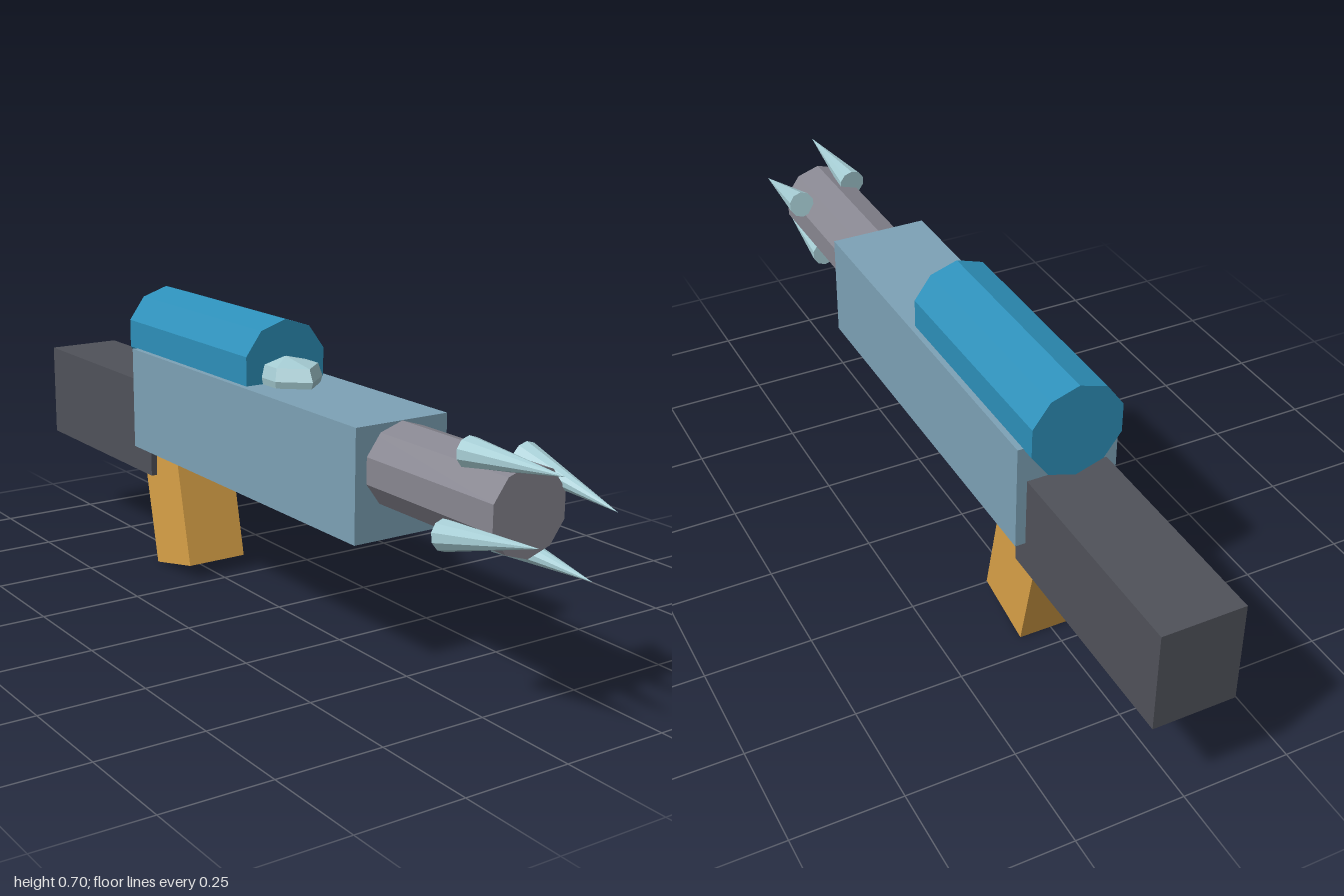
import * as THREE from 'three';

const mat = (name, color) => {
  const m = new THREE.MeshStandardMaterial({ color, flatShading: true });
  m.name = name;
  return m;
};

export function createModel() {
  const steelBlue = mat('steelBlue', 0x7da2b6);
  const charcoal = mat('charcoal', 0x50525a);
  const gunGrey = mat('gunGrey', 0x888791);
  const deepBlue = mat('deepBlue', 0x2d90ba);
  const amber = mat('amber', 0xd9a147);
  const paleIce = mat('paleIce', 0xa6cdd4);

  const model = new THREE.Group();
  const cx = -0.002; // shared centre line of the body parts

  const add = (name, geometry, material, x, y, z) => {
    const mesh = new THREE.Mesh(geometry, material);
    mesh.name = name;
    mesh.position.set(x, y, z);
    model.add(mesh);
    return mesh;
  };
  // Ten-sided tube along z with a corner at the top
  const tube = (r, length) =>
    new THREE.CylinderGeometry(r, r, length, 10).rotateX(Math.PI / 2);

  // Main boxes
  add('body', new THREE.BoxGeometry(0.237, 0.252, 0.955), steelBlue, cx, 0.436, -0.009);
  add('stock', new THREE.BoxGeometry(0.189, 0.238, 0.555), charcoal, cx, 0.356, -0.7225);

  // Grip, leaning so its foot points forward
  const tilt = 0.216, gripLength = 0.36;
  const grip = add('grip', new THREE.BoxGeometry(0.158, gripLength, 0.17), amber, cx,
    0.02 + Math.cos(tilt) * gripLength / 2, -0.366 - Math.sin(tilt) * gripLength / 2);
  grip.rotation.x = -tilt;

  // Barrel and scope
  add('barrel', tube(0.0945, 0.465), gunGrey, cx, 0.467, 0.6325);
  add('scope', tube(0.1105, 0.55), deepBlue, cx, 0.595, -0.246);

  // Faceted lens in front of the scope
  const profile = [[0.001, 0.54], [0.069, 0.558], [0.074, 0.578], [0.065, 0.607], [0.001, 0.621]]
    .map(([r, y]) => new THREE.Vector2(r, y));
  const lens = add('lens', new THREE.LatheGeometry(profile, 6), paleIce, cx, 0, 0.03);
  lens.scale.z = 1.5;

  // Spikes around the muzzle, in opposite pairs: offsets of base and tip from the barrel axis
  const pairs = [
    { base: [0.099, 0.064], tip: [0.095, 0.018] },
    { base: [-0.043, 0.094], tip: [-0.039, 0.107] },
  ];
  for (const { base, tip } of pairs) {
    for (const s of [1, -1]) {
      const from = new THREE.Vector3(cx + s * base[0], 0.467 + s * base[1], 0.735);
      const to = new THREE.Vector3(cx + s * tip[0], 0.467 + s * tip[1], 1);
      const axis = to.clone().sub(from);
      const mid = from.clone().add(to).multiplyScalar(0.5);
      const spike = add('spike', new THREE.ConeGeometry(0.033, axis.length(), 10), paleIce, mid.x, mid.y, mid.z);
      spike.quaternion.setFromUnitVectors(new THREE.Vector3(0, 1, 0), axis.normalize());
    }
  }

  return model;
}
